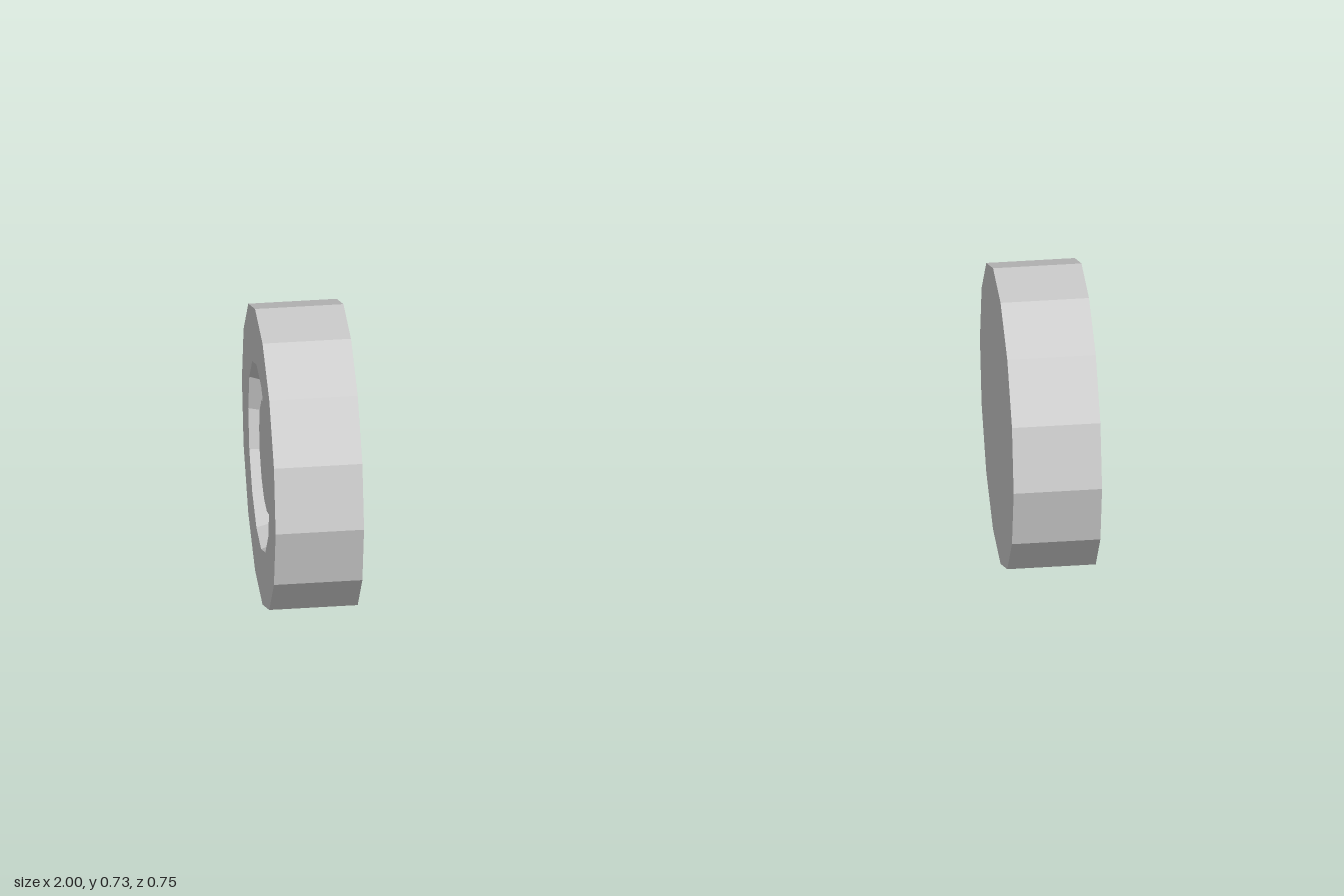
import * as THREE from 'three';

const SIDES = 14;
const RADIUS = 0.373;
const INNER_X = 0.786, OUTER_X = 1;

export function createModel() {
  const model = new THREE.Group();
  model.name = 'wheelPair';
  const grey = new THREE.MeshStandardMaterial({ color: 0xcccccc, flatShading: true });
  grey.name = 'grey';

  // Faceted ring profile of [radius, x], turned so its axis lies along +x
  const turned = (profile) => new THREE.LatheGeometry(
    profile.map(([r, x]) => new THREE.Vector2(r, x)), SIDES
  ).rotateZ(-Math.PI / 2);

  // Flat inner side, tread, outer sidewall and the sloped wall of the recess
  const tyreGeometry = turned([
    [0, INNER_X], [RADIUS, INNER_X], [RADIUS, OUTER_X],
    [0.233, OUTER_X], [0.211, OUTER_X - 0.058],
  ]);
  // Raised hub cap with a bevelled edge, set inside the recess
  const hubGeometry = turned([
    [0.211, OUTER_X - 0.058], [0.138, OUTER_X - 0.016], [0, OUTER_X - 0.016],
  ]);

  for (const side of ['left', 'right']) {
    const wheel = new THREE.Group();
    wheel.name = side + 'Wheel';
    const tyre = new THREE.Mesh(tyreGeometry, grey);
    tyre.name = 'tyre';
    const hub = new THREE.Mesh(hubGeometry, grey);
    hub.name = 'hubCap';
    wheel.add(tyre, hub);
    wheel.position.y = RADIUS * Math.cos(Math.PI / SIDES);
    if (side === 'right') wheel.rotation.y = Math.PI;
    model.add(wheel);
  }
  return model;
}
